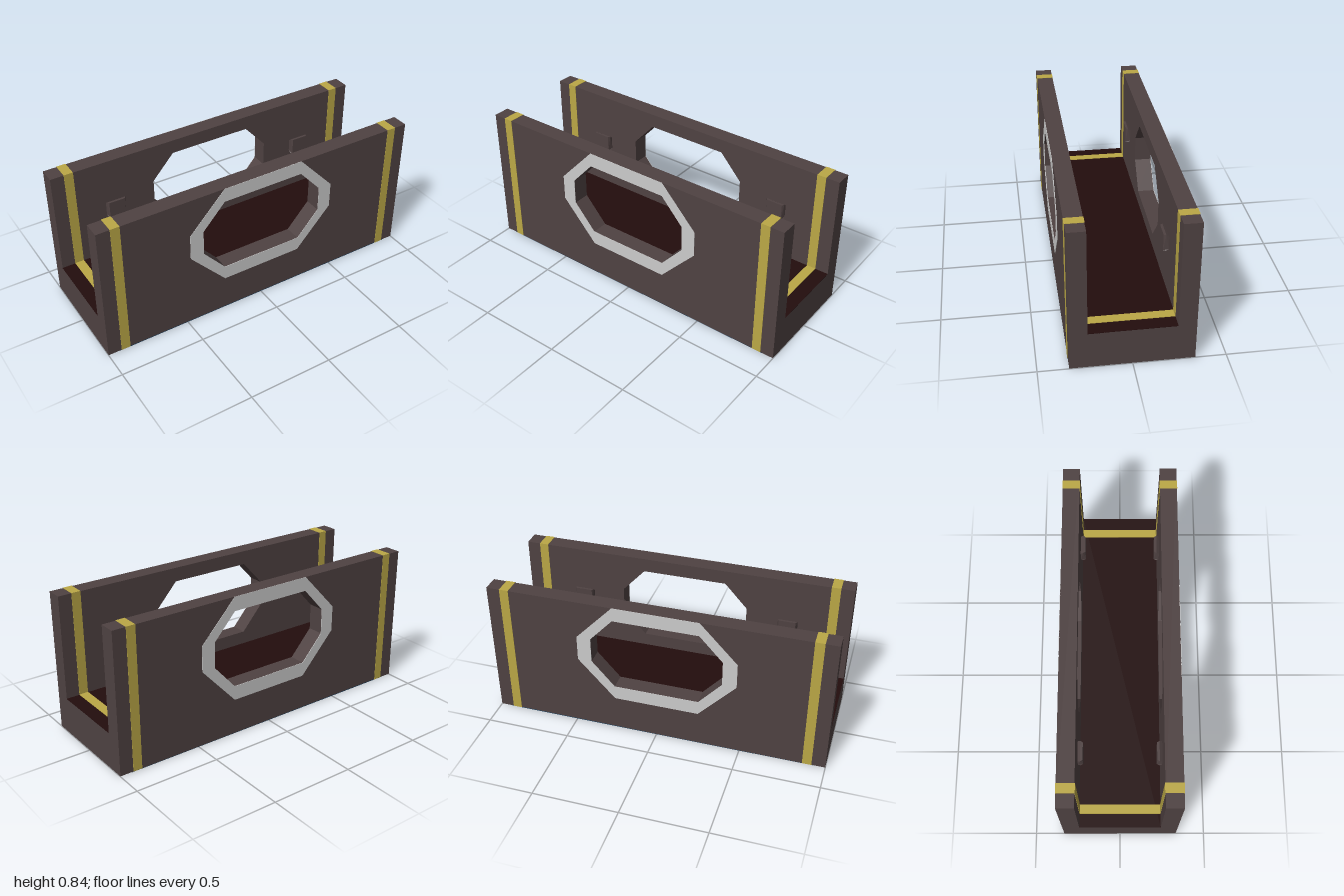
import * as THREE from 'three';

const H = 0.833, DEPTH = 0.333, WALL = 0.098, FLOOR = 0.218;
const INNER = DEPTH - WALL;

const mat = (name, color) => new THREE.MeshStandardMaterial({ name, color });

// Stretched octagon: straight edge half-width, side half-width, and four heights
const octagon = (flat, side, bottom, low, high, top) => [
  [-flat, bottom], [flat, bottom], [side, low], [side, high],
  [flat, top], [-flat, top], [-side, high], [-side, low],
].map(([x, y]) => new THREE.Vector2(x, y));

export function createModel() {
  const model = new THREE.Group();
  model.name = 'channel';
  const brown = mat('dark brown', 0x4f4242);
  const maroon = mat('floor maroon', 0x230d0d);
  const yellow = mat('stripe yellow', 0xbba846);
  const grey = mat('frame grey', 0xcbcbcb);
  const blue = mat('underside blue', 0x1c4262);

  const add = (parent, name, geometry, material, x = 0, y = 0, z = 0) => {
    const mesh = new THREE.Mesh(geometry, material);
    mesh.name = name;
    mesh.position.set(x, y, z);
    parent.add(mesh);
    return mesh;
  };
  const box = (parent, name, material, w, h, d, x, y, z) =>
    add(parent, name, new THREE.BoxGeometry(w, h, d), material, x, y, z);

  // Wall with an octagonal opening
  const opening = octagon(0.25, 0.385, 0.298, 0.45, 0.602, 0.75);
  const wallShape = new THREE.Shape([[-1, 0], [1, 0], [1, H], [-1, H]]
    .map(([x, y]) => new THREE.Vector2(x, y)));
  wallShape.holes.push(new THREE.Path(opening));
  const wallGeo = new THREE.ExtrudeGeometry(wallShape, { depth: WALL, bevelEnabled: false });

  // Flat frame around the opening
  const frameShape = new THREE.Shape(octagon(0.25, 0.468, 0.213, 0.45, 0.602, H));
  frameShape.holes.push(new THREE.Path(opening));
  const frameGeo = new THREE.ExtrudeGeometry(frameShape, { depth: 0.003, bevelEnabled: false });

  // Small lug: profile extruded along x, with its free face tapered
  const lugShape = new THREE.Shape([
    [0, -0.038], [0.015, -0.049], [0.029, -0.049],
    [0.029, 0.049], [0.015, 0.049], [0, 0.038],
  ].map(([x, y]) => new THREE.Vector2(x, y)));
  const lugGeo = new THREE.ExtrudeGeometry(lugShape, { depth: 0.116, bevelEnabled: false });
  lugGeo.translate(0, 0, -0.058).rotateY(Math.PI / 2);
  const p = lugGeo.attributes.position;
  for (let i = 0; i < p.count; i++) {
    if (p.getZ(i) < -0.02) p.setX(i, p.getX(i) * 0.85);
  }
  lugGeo.computeVertexNormals();

  // Two mirrored sides
  for (const name of ['front', 'back']) {
    const side = new THREE.Group();
    side.name = name + 'Side';
    if (name === 'back') side.rotation.y = Math.PI;
    model.add(side);
    add(side, 'wall', wallGeo, brown, 0, 0, INNER);
    add(side, 'openingFrame', frameGeo, grey, 0, 0, DEPTH - 0.001);
    for (const s of [-1, 1]) {
      const x = s * 0.894, w = 0.054;
      box(side, 'outerStripe', yellow, w, H, 0.003, x, H / 2, DEPTH + 0.0005);
      box(side, 'topStripe', yellow, w, 0.003, WALL + 0.004, x, H + 0.0005, INNER + WALL / 2);
      box(side, 'innerStripe', yellow, w, H - FLOOR, 0.003, x, (H + FLOOR) / 2, INNER - 0.0005);
      add(side, 'lug', lugGeo, brown, s * 0.636, 0.526, INNER);
    }
  }

  // Base between the walls, with its coloured floor and floor stripes
  box(model, 'base', brown, 2, FLOOR - 0.002, INNER * 2, 0, FLOOR / 2 - 0.001, 0);
  box(model, 'floor', maroon, 2, 0.003, INNER * 2, 0, FLOOR - 0.0015, 0);
  for (const s of [-1, 1]) {
    box(model, 'floorStripe', yellow, 0.054, 0.004, INNER * 2, s * 0.894, FLOOR + 0.001, 0);
  }

  // Underside panel
  box(model, 'undersidePanel', blue, 1.86, 0.004, DEPTH * 2, 0, 0, 0);
  model.position.y = 0.002;
  return model;
}
